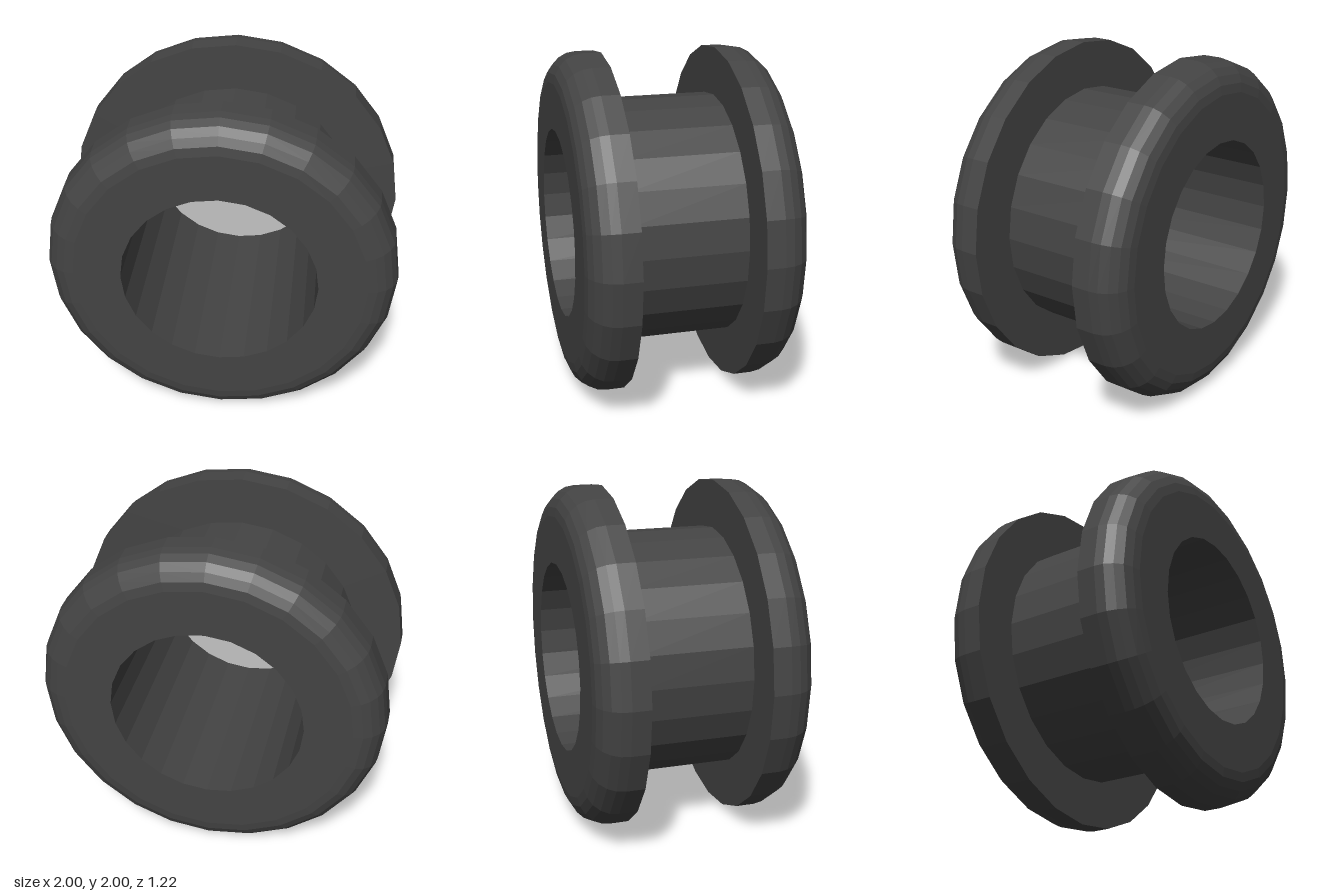
import * as THREE from 'three';

const SIDES = 24;
const BORE = 0.556, HUB = 0.72, RIM = 1; // radii
const INNER = 0.335, OUTER = 0.61; // flange faces along z
const FILLET = 0.17, STEPS = 5;

export function createModel() {
  const group = new THREE.Group();
  const material = new THREE.MeshStandardMaterial({ color: 0x444444, flatShading: true });

  // Turns a [radius, z] profile around the z axis
  const turn = (name, profile) => {
    const points = profile.map(([r, z]) => new THREE.Vector2(r, z));
    const geometry = new THREE.LatheGeometry(points, SIDES).rotateX(Math.PI / 2);
    const mesh = new THREE.Mesh(geometry, material);
    mesh.name = name;
    mesh.position.y = 1;
    group.add(mesh);
    return mesh;
  };

  // Flange: flat inner face, rim, rounded outer edge, flat outer face
  const flange = [[HUB, INNER], [RIM, INNER]];
  for (let i = 0; i <= STEPS; i++) {
    const a = (i / STEPS) * Math.PI / 2;
    flange.push([RIM - FILLET + FILLET * Math.cos(a), OUTER - FILLET + FILLET * Math.sin(a)]);
  }
  flange.push([BORE, OUTER]);
  turn('frontFlange', flange);
  turn('backFlange', flange).rotation.y = Math.PI;

  // Neck between the flanges, and the hole through the whole part
  turn('neck', [[HUB, -INNER], [HUB, INNER]]);
  turn('bore', [[BORE, OUTER], [BORE, -OUTER]]);

  return group;
}
